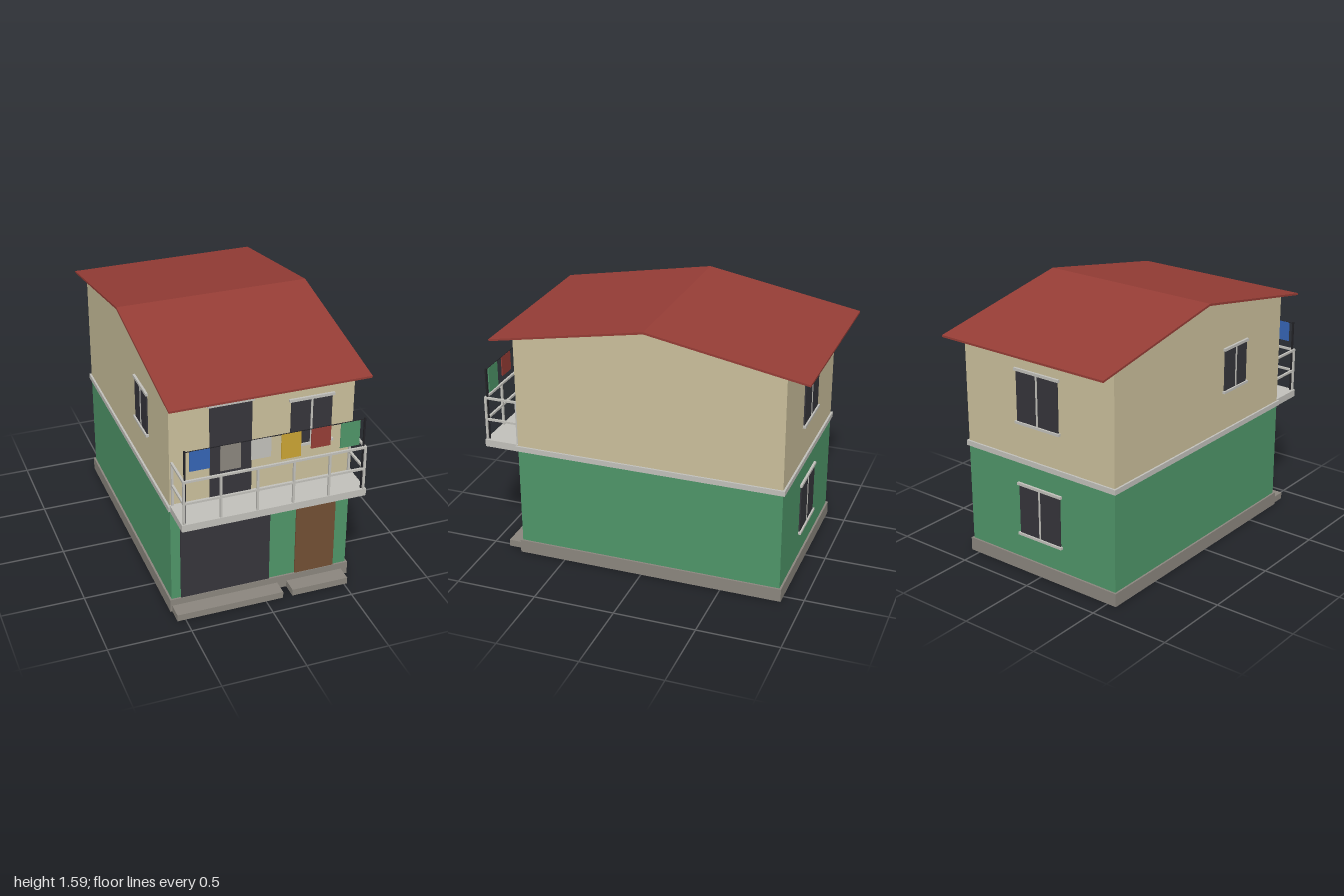
import * as THREE from 'three';

const paint = (name, color) => {
  const m = new THREE.MeshStandardMaterial({ color });
  m.name = name;
  return m;
};

export function createModel() {
  const green = paint('green', 0x4f9669);
  const cream = paint('cream', 0xcbc09c);
  const concrete = paint('pale concrete', 0xc2c1bb);
  const stone = paint('grey stone', 0x8b867e);
  const dark = paint('dark glass', 0x36353b);
  const black = paint('black metal', 0x222226);
  const brown = paint('brown wood', 0x724f34);
  const red = paint('red', 0x963d36);
  const blue = paint('blue', 0x3565b5);
  const yellow = paint('yellow', 0xcba434);

  const house = new THREE.Group();
  house.name = 'house';

  // Box given by its lower and upper corners
  const box = (name, mat, x0, x1, y0, y1, z0, z1, parent = house) => {
    const mesh = new THREE.Mesh(new THREE.BoxGeometry(x1 - x0, y1 - y0, z1 - z0), mat);
    mesh.position.set((x0 + x1) / 2, (y0 + y1) / 2, (z0 + z1) / 2);
    mesh.name = name;
    parent.add(mesh);
    return mesh;
  };

  // Outline drawn in (z, y) and extruded across x
  const acrossX = (name, mat, points, halfWidth) => {
    const shape = new THREE.Shape(points.map(([z, y]) => new THREE.Vector2(-z, y)));
    const geo = new THREE.ExtrudeGeometry(shape, { depth: halfWidth * 2, bevelEnabled: false });
    geo.translate(0, 0, -halfWidth).rotateY(Math.PI / 2);
    const mesh = new THREE.Mesh(geo, mat);
    mesh.name = name;
    house.add(mesh);
  };

  const W = 0.549, FRONT = 0.783, BACK = -0.861, RIDGE = -0.04;

  // Plinth, storeys and floor band
  box('plinth', stone, -0.561, 0.561, 0, 0.083, -0.873, 0.795);
  box('groundFloor', green, -W, W, 0.083, 0.71, BACK, FRONT);
  acrossX('upperFloor', cream, [[FRONT, 0.71], [FRONT, 1.426], [RIDGE, 1.576], [BACK, 1.426], [BACK, 0.71]], W);
  box('floorBand', concrete, -0.561, 0.561, 0.698, 0.73, -0.873, 0.795);
  box('garageStep', stone, -0.55, 0.107, 0, 0.042, 0.795, 0.892);
  box('doorStep', stone, 0.166, 0.52, 0, 0.042, 0.795, 0.892);

  // Thin gabled roof
  acrossX('roof', red, [
    [0.918, 1.402], [0.918, 1.414], [RIDGE, 1.588], [-1, 1.414], [-1, 1.402], [RIDGE, 1.575],
  ], 0.588);

  // Openings are built facing +z around their bottom centre, then set on a wall
  const opening = (name, mat, width, height, isWindow) => {
    const g = new THREE.Group();
    g.name = name;
    const h = width / 2, e = h + 0.012;
    box('panel', mat, -h, h, 0, height, 0, 0.008, g);
    box('lintel', concrete, -e, e, height, height + 0.017, 0, 0.014, g);
    if (isWindow) {
      box('sill', concrete, -e, e, -0.015, 0, 0, 0.018, g);
      box('mullion', concrete, -0.006, 0.006, 0, height, 0, 0.011, g);
    }
    house.add(g);
    return g;
  };
  opening('garageDoor', dark, 0.547, 0.52, false).position.set(-0.219, 0.083, FRONT);
  opening('frontDoor', brown, 0.248, 0.495, false).position.set(0.342, 0.083, FRONT);
  opening('balconyDoor', dark, 0.248, 0.582, false).position.set(-0.191, 0.735, FRONT);
  opening('frontWindow', dark, 0.248, 0.277, true).position.set(0.289, 0.984, FRONT);
  for (const [name, y] of [['lowerBackWindow', 0.248], ['upperBackWindow', 0.957]]) {
    const w = opening(name, dark, 0.305, 0.305, true);
    w.position.set(0, y, BACK);
    w.rotation.y = Math.PI;
  }
  const sideWindow = opening('sideWindow', dark, 0.225, 0.252, true);
  sideWindow.position.set(-W, 0.984, 0.29);
  sideWindow.rotation.y = -Math.PI / 2;

  // Balcony slab and railing
  box('balconySlab', concrete, -0.55, 0.55, 0.692, 0.737, FRONT, 1);
  const railing = new THREE.Group();
  railing.name = 'railing';
  house.add(railing);
  const r = 0.0065, RX = 0.535, RZ = 0.99;
  for (const y of [0.869, 1.008]) {
    box('frontRail', concrete, -RX - r, RX + r, y - r, y + r, RZ - r, RZ + r, railing);
    for (const x of [-RX, RX]) box('sideRail', concrete, x - r, x + r, y - r, y + r, FRONT, RZ - r, railing);
  }
  for (let i = 0; i < 6; i++) {
    const x = -RX + i * RX * 0.4;
    box('railPost', concrete, x - r, x + r, 0.737, 1.002, RZ - r, RZ + r, railing);
  }
  for (const x of [-RX, RX]) box('wallPost', concrete, x - r, x + r, 0.737, 1.002, FRONT, FRONT + 2 * r, railing);

  // Washing line
  const line = new THREE.Group();
  line.name = 'washingLine';
  house.add(line);
  for (const x of [-0.526, 0.526]) box('linePole', black, x - 0.005, x + 0.005, 0.737, 1.195, 0.976, 0.986, line);
  box('lineCord', black, -0.526, 0.526, 1.185, 1.189, 0.979, 0.983, line);
  [blue, stone, concrete, yellow, red, green].forEach((mat, i) => {
    const x = -0.44 + i * 0.176;
    box('cloth', mat, x - 0.058, x + 0.058, i % 2 ? 1.029 : 1.063, 1.187, 0.978, 0.984, line);
  });

  return house;
}
